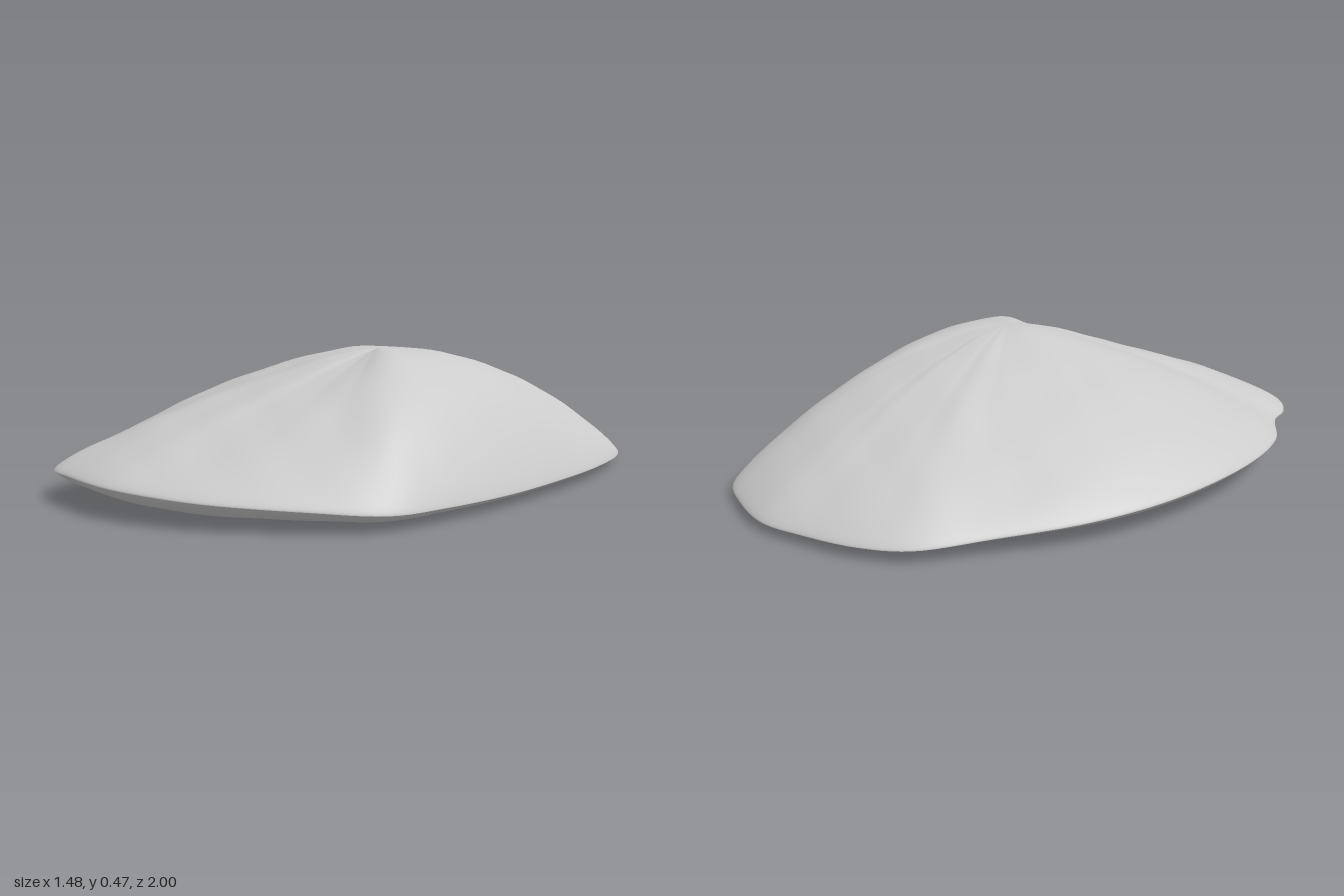
import * as THREE from 'three';
import { mergeVertices } from 'three/addons/utils/BufferGeometryUtils.js';

// Rim stations, clockwise from the back: x, z, rim height, fullness of the slope above
const RIM = [
  [0.27, -1.0, 0.035, 1.7], [0.45, -0.95, 0.035, 1.75], [0.6, -0.87, 0.035, 1.8],
  [0.67, -0.74, 0.04, 2.0], [0.72, -0.5, 0.045, 2.3], [0.74, -0.25, 0.05, 2.5],
  [0.725, 0.1, 0.05, 2.6], [0.68, 0.4, 0.055, 2.4], [0.62, 0.6, 0.06, 2.0],
  [0.45, 0.76, 0.075, 1.5], [0.2, 0.92, 0.09, 1.2], [-0.01, 0.985, 0.1, 1.15],
  [-0.15, 1.0, 0.105, 1.2], [-0.35, 0.965, 0.105, 1.25], [-0.48, 0.92, 0.1, 1.3],
  [-0.55, 0.82, 0.1, 1.35], [-0.58, 0.7, 0.105, 1.4], [-0.69, 0.5, 0.11, 1.55],
  [-0.74, 0.2, 0.115, 1.75], [-0.69, -0.15, 0.1, 1.75], [-0.58, -0.42, 0.085, 1.7],
  [-0.4, -0.67, 0.065, 1.65], [-0.25, -0.86, 0.05, 1.65], [-0.1, -0.94, 0.045, 1.65],
  [0.1, -0.985, 0.04, 1.7],
];
const PEAK = new THREE.Vector3(0.19, 0.475, 0.08);
const COLS = 150, RINGS = 36;

// Gentle weathering of the surface
const ripple = (x, z) =>
  0.004 * Math.sin(9 * x + 4 * z) * Math.sin(8 * z - 3 * x + 1) +
  0.002 * Math.sin(21 * x - 13 * z) * Math.sin(17 * z + 6 * x);

function stoneGeometry() {
  const rimCurve = new THREE.CatmullRomCurve3(
    RIM.map(([x, z, y]) => new THREE.Vector3(x, y, z)), true);
  const fullCurve = new THREE.CatmullRomCurve3(
    RIM.map(([, , , p]) => new THREE.Vector3(p, 0, 0)), true);
  const pos = [], index = [];

  // Rings run from the peak out to the rim, then under to the middle of the base
  for (let r = 0; r <= 2 * RINGS; r++) {
    const under = r > RINGS;
    const s = Math.sin((r / RINGS) * Math.PI / 2);
    for (let c = 0; c < COLS; c++) {
      const rim = rimCurve.getPoint(c / COLS);
      const p = fullCurve.getPoint(c / COLS).x;
      const x = THREE.MathUtils.lerp(PEAK.x, rim.x, s);
      const z = THREE.MathUtils.lerp(PEAK.z, rim.z, s);
      const fade = Math.min(1, 8 * s * (1 - s));
      let y;
      if (under) {
        y = 0.008 + (rim.y - 0.008) * (0.6 * s ** 14 + 0.4 * s ** 4) + ripple(x, z) * fade * 0.6;
      } else {
        const lip = 0.025; // rounded nose just above the rim
        y = rim.y + (PEAK.y - rim.y - lip) * (1 - s ** p)
          + lip * Math.sqrt(Math.max(0, 1 - s ** 12)) + ripple(x, z) * fade;
      }
      pos.push(x, Math.max(0, y), z);
    }
  }
  for (let r = 0; r < 2 * RINGS; r++) {
    for (let c = 0; c < COLS; c++) {
      const n = (c + 1) % COLS;
      const a = r * COLS + c, b = r * COLS + n, d = a + COLS, e = b + COLS;
      if (r > 0) index.push(a, b, d);
      if (r < 2 * RINGS - 1) index.push(b, e, d);
    }
  }
  let geo = new THREE.BufferGeometry();
  geo.setAttribute('position', new THREE.Float32BufferAttribute(pos, 3));
  geo.setIndex(index);
  geo = mergeVertices(geo, 1e-5);
  geo.computeVertexNormals();
  return geo;
}

export function createModel() {
  const group = new THREE.Group();
  group.name = 'rock';
  const stone = new THREE.Mesh(stoneGeometry(), new THREE.MeshStandardMaterial({ color: 0xcccccc }));
  stone.name = 'stone';
  group.add(stone);
  return group;
}
